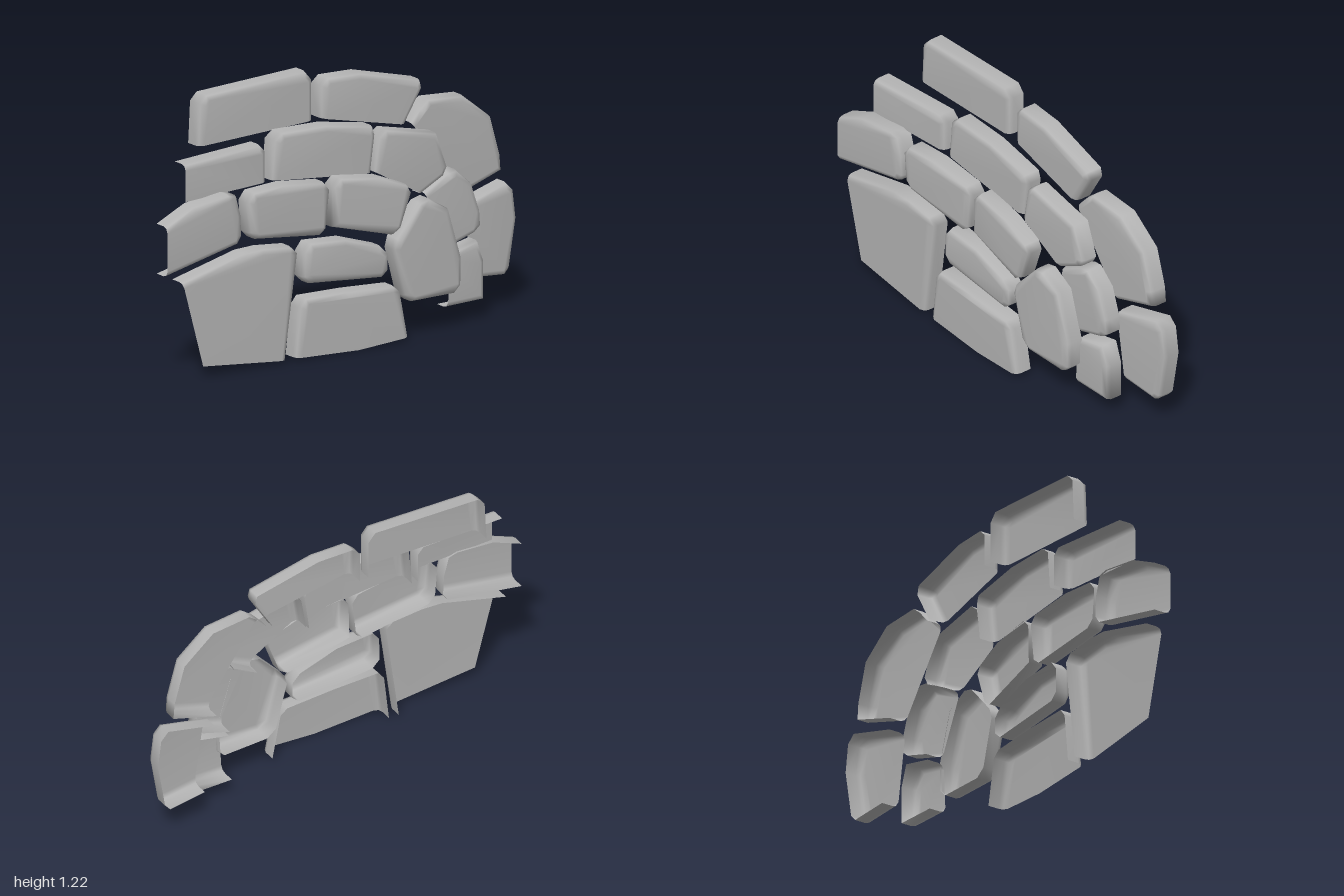
import * as THREE from 'three';

const DEPTH = 0.085;
// cross-section of a stone edge: [inset from outline, depth behind the front face]
const PROFILE = [[0, DEPTH], [0, 0.03], [0.006, 0.011], [0.026, 0]];

// Shift each edge of a counter-clockwise outline inward; open edges stay in place.
function insetOutline(pts, d, open) {
  const n = pts.length;
  const normal = (i) => {
    const a = pts[i], b = pts[(i + 1) % n];
    return new THREE.Vector2(a.y - b.y, b.x - a.x).normalize();
  };
  return pts.map((p, i) => {
    const h = (i + n - 1) % n;
    const n1 = normal(h), n2 = normal(i);
    const d1 = h < open ? 0 : d, d2 = i < open ? 0 : d;
    const det = n1.x * n2.y - n1.y * n2.x;
    if (Math.abs(det) < 0.02) return new THREE.Vector2(p.x + n1.x * d1, p.y + n1.y * d1);
    return new THREE.Vector2(
      p.x + (d1 * n2.y - d2 * n1.y) / det,
      p.y + (n1.x * d2 - n2.x * d1) / det);
  });
}

// Hollow-backed stone; the first `open` edges of the outline have no side wall.
// The front face runs from z = zLow at the smallest x to z = zHigh at the largest x.
function stoneGeometry(open, zLow, zHigh, outline) {
  const pts = outline.map(([x, y]) => new THREE.Vector2(x, y));
  const n = pts.length;
  const xs = pts.map((p) => p.x);
  const x0 = Math.min(...xs), x1 = Math.max(...xs);
  const pos = [], index = [];
  let ring;
  PROFILE.forEach(([inset, back], k) => {
    ring = insetOutline(pts, inset, open);
    for (const p of ring) {
      const z = THREE.MathUtils.lerp(zLow, zHigh, (p.x - x0) / (x1 - x0));
      pos.push(p.x, p.y, z - back);
    }
    if (k === 0) return;
    for (let i = open; i < n; i++) {
      const j = (i + 1) % n, a = (k - 1) * n, b = k * n;
      index.push(a + i, a + j, b + j, a + i, b + j, b + i);
    }
  });
  const base = (PROFILE.length - 1) * n;
  for (const [a, b, c] of THREE.ShapeUtils.triangulateShape(ring, []))
    index.push(base + a, base + b, base + c);
  const geo = new THREE.BufferGeometry();
  geo.setAttribute('position', new THREE.Float32BufferAttribute(pos, 3));
  geo.setIndex(index);
  geo.computeVertexNormals();
  return geo;
}

export function createModel() {
  const group = new THREE.Group();
  group.name = 'stoneWall';
  const grey = new THREE.MeshStandardMaterial({ color: 0xb4b4b4, side: THREE.DoubleSide });
  grey.name = 'stoneGrey';
  const stone = (name, open, zLow, zHigh, outline) => {
    const mesh = new THREE.Mesh(stoneGeometry(open, zLow, zHigh, outline), grey);
    mesh.name = name;
    group.add(mesh);
  };

  // rear layer
  stone('topStoneRight', 1, -0.065, -0.075, [[-0.69, 0.97], [-0.08, 0.995], [-0.08, 1.18],
    [-0.115, 1.22], [-0.645, 1.195], [-0.68, 1.16]]);
  stone('topStoneLeft', 1, -0.075, -0.06, [[-0.035, 0.995], [0.4, 0.905], [0.49, 1.055],
    [0.48, 1.095], [0.17, 1.17], [0.0, 1.172], [-0.035, 1.14]]);
  stone('shoulderStone', 1, -0.055, -0.075, [[0.425, 0.91], [0.69, 0.54], [0.918, 0.615],
    [0.912, 0.69], [0.86, 0.87], [0.71, 0.987], [0.52, 1.0], [0.475, 0.965]]);
  stone('outerSideStone', 1, -0.06, -0.08, [[0.7, 0.49], [0.75, 0.155], [0.935, 0.14],
    [0.962, 0.17], [1.0, 0.39], [0.983, 0.52], [0.945, 0.557]]);

  // middle layer
  stone('secondRowEndStone', 2, 0.065, 0.035, [[-0.85, 0.94], [-0.85, 0.775], [-0.4, 0.79],
    [-0.4, 0.93], [-0.43, 0.96]]);
  stone('secondRowMiddleStone', 1, 0.035, 0.035, [[-0.37, 0.79], [0.155, 0.745],
    [0.178, 0.915], [0.165, 0.955], [-0.08, 0.995], [-0.315, 0.997], [-0.355, 0.965]]);
  stone('secondRowInnerStone', 1, 0.045, 0.03, [[0.165, 0.75], [0.42, 0.61], [0.54, 0.67],
    [0.562, 0.71], [0.505, 0.87], [0.23, 0.93], [0.19, 0.9]]);
  stone('innerSideStone', 1, 0.04, 0.035, [[0.43, 0.615], [0.56, 0.345], [0.7, 0.39],
    [0.735, 0.42], [0.73, 0.49], [0.685, 0.62], [0.605, 0.69], [0.56, 0.685]]);
  stone('smallSideStone', 1, 0.045, 0.04, [[0.56, 0.32], [0.545, 0.08], [0.748, 0.085],
    [0.748, 0.26], [0.715, 0.355]]);

  // front layer
  stone('thirdRowEndStone', 1, 0.145, 0.125, [[-1.0, 0.7], [-1.0, 0.475], [-0.61, 0.558],
    [-0.585, 0.595], [-0.59, 0.69], [-0.615, 0.78], [-0.66, 0.79], [-0.85, 0.768]]);
  stone('thirdRowMiddleStone', 0, 0.135, 0.115, [[-0.515, 0.567], [-0.17, 0.528],
    [-0.135, 0.555], [-0.115, 0.73], [-0.145, 0.766], [-0.36, 0.79], [-0.53, 0.78],
    [-0.562, 0.74], [-0.55, 0.6]]);
  stone('thirdRowInnerStone', 0, 0.115, 0.13, [[-0.1, 0.555], [0.21, 0.475], [0.25, 0.5],
    [0.306, 0.655], [0.285, 0.692], [0.15, 0.745], [-0.06, 0.77], [-0.095, 0.735]]);
  stone('wedgeStone', 0, 0.135, 0.12, [[0.208, 0.41], [0.265, 0.195], [0.31, 0.16],
    [0.535, 0.16], [0.572, 0.195], [0.575, 0.32], [0.505, 0.55], [0.4, 0.612],
    [0.35, 0.6], [0.222, 0.46]]);
  stone('fourthRowStone', 0, 0.14, 0.135, [[-0.27, 0.36], [-0.235, 0.326], [0.145, 0.295],
    [0.18, 0.325], [0.18, 0.4], [0.14, 0.44], [-0.05, 0.5], [-0.235, 0.51], [-0.267, 0.47]]);
  stone('largeCornerStone', 2, 0.155, 0.16, [[-0.925, 0.44], [-0.82, 0.05], [-0.38, 0.01],
    [-0.315, 0.485], [-0.35, 0.517], [-0.5, 0.53], [-0.6, 0.525]]);
  stone('baseStone', 2, 0.16, 0.16, [[-0.33, 0.012], [0.0, 0.0], [0.266, 0.018],
    [0.225, 0.23], [0.19, 0.258], [-0.05, 0.27], [-0.275, 0.272], [-0.305, 0.235]]);

  return group;
}
